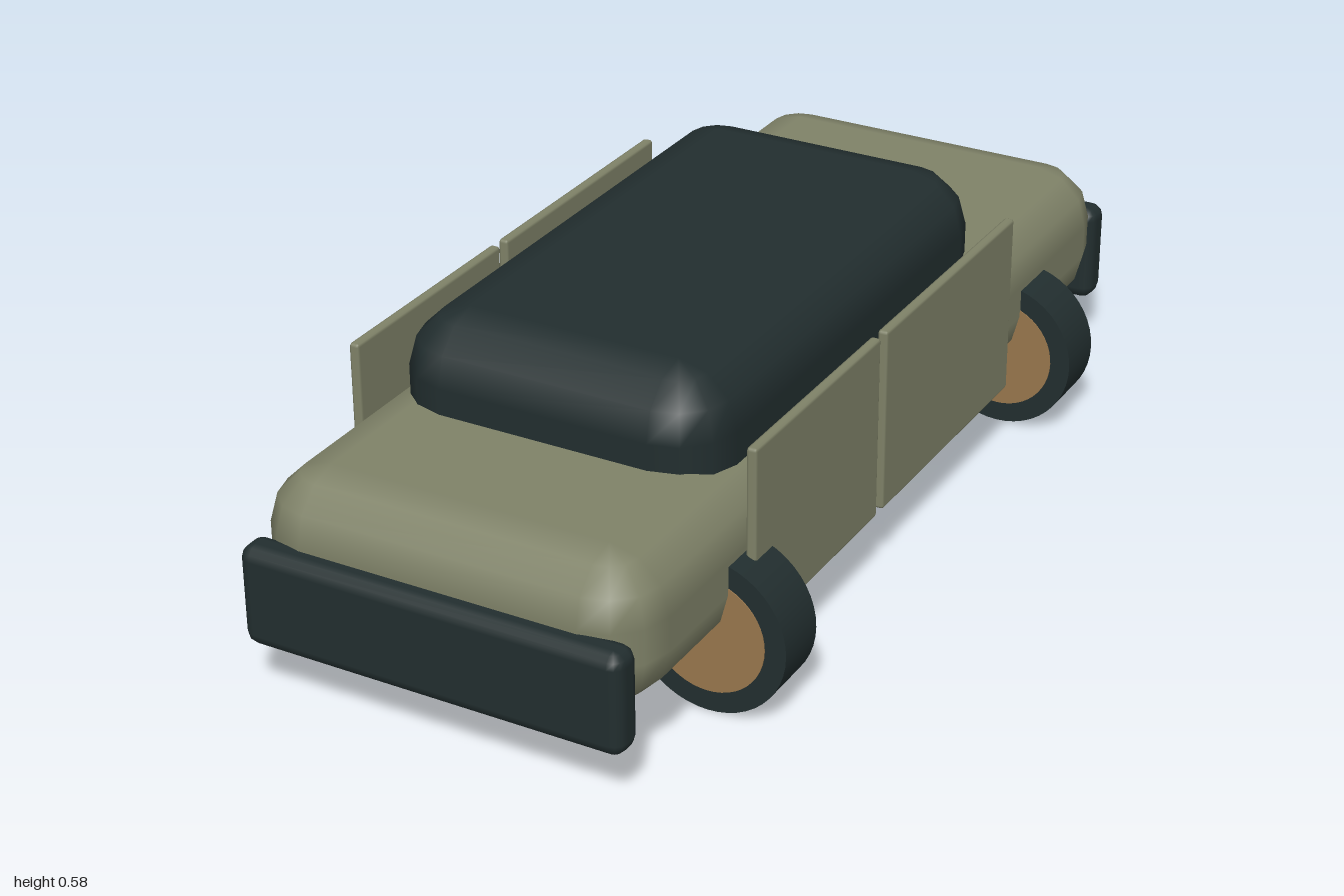
import * as THREE from 'three';

const paint = (name, color) => Object.assign(new THREE.MeshStandardMaterial({ color }), { name });

// Box from min to max corner with every edge rounded in a few facets
function roundedBox(min, max, r, steps = 3) {
  const size = max.map((v, i) => v - min[i]);
  const inner = size.map((s) => s / 2 - r);
  const pos = [], nor = [], idx = [];
  const cols = 4 * (steps + 1), rows = 2 * (steps + 1);
  for (let j = 0; j < rows; j++) {
    const upper = j > steps;
    const lat = ((j - steps - (upper ? 1 : 0)) / steps) * (Math.PI / 2);
    for (let i = 0; i < cols; i++) {
      const quad = Math.floor(i / (steps + 1));
      const lon = (quad + (i % (steps + 1)) / steps) * (Math.PI / 2);
      const n = [Math.cos(lat) * Math.cos(lon), Math.sin(lat), Math.cos(lat) * Math.sin(lon)];
      const side = [quad === 0 || quad === 3 ? 1 : -1, upper ? 1 : -1, quad < 2 ? 1 : -1];
      n.forEach((v, k) => pos.push((min[k] + max[k]) / 2 + side[k] * inner[k] + v * r));
      nor.push(...n);
      if (j < rows - 1) {
        const a = j * cols + i, b = j * cols + ((i + 1) % cols);
        idx.push(a, a + cols, b, b, a + cols, b + cols);
      }
    }
  }
  // Flat bottom and top
  const [p, q, s, t] = [0, 1, 2, 3].map((k) => k * (steps + 1));
  const top = (rows - 1) * cols;
  idx.push(p, q, s, p, s, t, top + p, top + s, top + q, top + p, top + t, top + s);
  const geo = new THREE.BufferGeometry();
  geo.setAttribute('position', new THREE.Float32BufferAttribute(pos, 3));
  geo.setAttribute('normal', new THREE.Float32BufferAttribute(nor, 3));
  geo.setIndex(idx);
  return geo;
}

export function createModel() {
  const model = new THREE.Group();
  model.name = 'car';
  const olive = paint('olive paint', 0x7f8268);
  const dark = paint('dark trim', 0x222e2f);
  const tan = paint('tan hub', 0x99774d);

  const add = (name, geo, mat, parent = model) => {
    const mesh = new THREE.Mesh(geo, mat);
    mesh.name = name;
    parent.add(mesh);
    return mesh;
  };

  // Body, cabin and bumpers
  add('body', roundedBox([-0.38, 0.13, -0.962], [0.38, 0.415, 0.962], 0.11), olive);
  add('cabin', roundedBox([-0.318, 0.29, -0.49], [0.318, 0.577, 0.622], 0.112), dark);
  add('frontBumper', roundedBox([-0.372, 0.107, 0.933], [0.372, 0.3, 1], 0.025), dark);
  add('rearBumper', roundedBox([-0.368, 0.1, -1], [0.368, 0.3, -0.931], 0.025), dark);

  for (const [label, s] of [['left', 1], ['right', -1]]) {
    // Thin door panels standing beside the body
    for (const [name, z0, z1] of [['FrontDoor', 0.137, 0.603], ['RearDoor', -0.434, 0.114]]) {
      const x = s * 0.394;
      add(label + name, roundedBox([x - 0.01, 0.138, z0], [x + 0.01, 0.497, z1], 0.006, 2), olive);
    }
    // Wheels, with their axles running front to back
    for (const [name, z] of [['FrontWheel', 0.598], ['RearWheel', -0.595]]) {
      const wheel = new THREE.Group();
      wheel.name = label + name;
      wheel.position.set(s * 0.339, 0.15, z);
      wheel.rotation.x = Math.PI / 2;
      add('tire', new THREE.CylinderGeometry(0.15, 0.15, 0.11, 48), dark, wheel);
      add('hub', new THREE.CylinderGeometry(0.11, 0.11, 0.114, 48), tan, wheel);
      model.add(wheel);
    }
  }
  return model;
}
